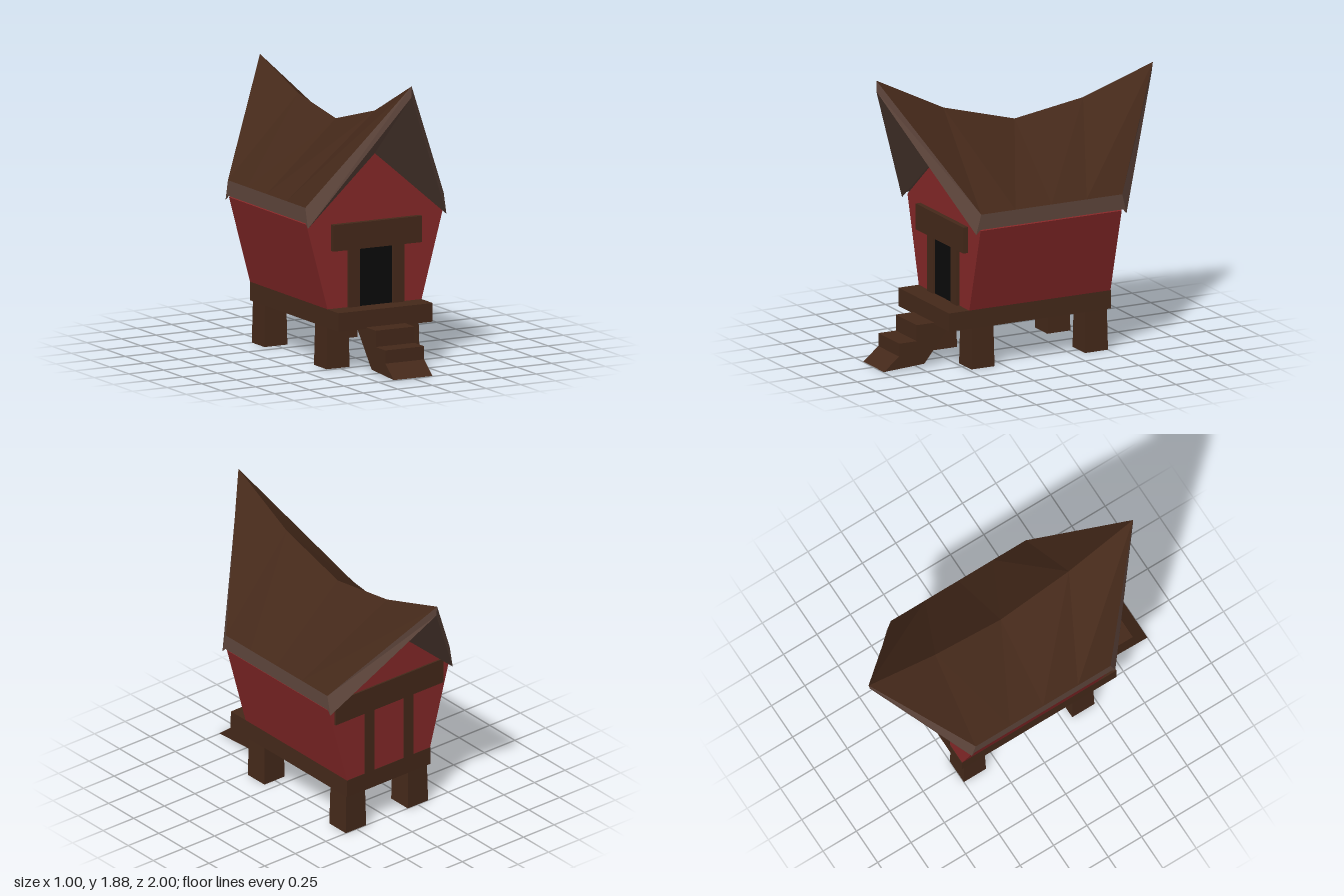
import * as THREE from 'three';

const mat = (color, extra = {}) => new THREE.MeshStandardMaterial({ color, flatShading: true, ...extra });

export function createModel() {
  const group = new THREE.Group();
  const wood = mat(0x45291a), trim = mat(0x5f463c), red = mat(0x862828), black = mat(0x0a0a0a);

  const add = (name, geo, material) => {
    const mesh = new THREE.Mesh(geo, material);
    mesh.name = name;
    group.add(mesh);
    return mesh;
  };
  // Box given by its limits on each axis
  const box = (name, x0, x1, y0, y1, z0, z1, material = wood) => {
    const geo = new THREE.BoxGeometry(x1 - x0, y1 - y0, z1 - z0);
    geo.translate((x0 + x1) / 2, (y0 + y1) / 2, (z0 + z1) / 2);
    return add(name, geo, material);
  };
  const shape = (pts) => new THREE.Shape(pts.map(([x, y]) => new THREE.Vector2(x, y)));
  // Faces listed for the +x half, then mirrored to -x
  const mirrored = (faces) => {
    const pos = [];
    for (const s of [1, -1]) {
      for (const f of faces) {
        const c = s > 0 ? f : [...f].reverse();
        for (let i = 1; i < c.length - 1; i++) {
          for (const [x, y, z] of [c[0], c[i], c[i + 1]]) pos.push(s * x, y, z);
        }
      }
    }
    const geo = new THREE.BufferGeometry();
    geo.setAttribute('position', new THREE.Float32BufferAttribute(pos, 3));
    geo.computeVertexNormals();
    return geo;
  };

  // Walls: flared house section with a low gable
  const walls = new THREE.ExtrudeGeometry(
    shape([[-0.34, 0.39], [0.34, 0.39], [0.492, 0.95], [0, 1.365], [-0.492, 0.95]]),
    { depth: 1.01, bevelEnabled: false });
  walls.translate(0, 0, -0.515);
  add('walls', walls, red);

  // Roof: swept ridge (R) over straight eaves (E)
  const R = [[0, 1.88, 0.98], [0, 1.64, 0.5], [0, 1.5, -0.01], [0, 1.575, -0.5], [0, 1.74, -1]];
  const E = [0.495, 0.25, -0.01, -0.26, -0.515].map((z) => [0.5, 1.06, z]);
  const slopes = [];
  for (let i = 0; i < 4; i++) slopes.push([E[i], E[i + 1], R[i + 1], R[i]]);
  add('roofSlopes', mirrored(slopes), wood);

  // Roof edges and soffits: inner ridge (U), lower eave (B)
  const U = [[0, 1.81, 0.98], [0, 1.365, 0.5], [0, 1.365, -0.52], [0, 1.67, -0.99]];
  const B = [[0.5, 0.93, 0.53], [0.5, 0.96, 0.5], [0.5, 0.96, -0.52], [0.5, 0.93, -0.545]];
  add('roofTrim', mirrored([
    [B[1], B[2], E[4], E[0]], [B[0], B[1], E[0]], [B[2], B[3], E[4]],
    [U[0], B[0], E[0], R[0]], [E[4], B[3], U[3], R[4]],
    [U[0], U[1], B[0]], [U[1], B[1], B[0]], [U[1], U[2], B[2], B[1]],
    [U[2], B[3], B[2]], [U[2], U[3], B[3]],
  ]), trim);

  // Floor platform with front porch
  box('platform', -0.34, 0.34, 0.27, 0.39, -0.518, 0.64);

  // Stilts, slightly wider at the foot
  for (const sx of [1, -1]) {
    for (const z of [0.395, -0.417]) {
      const geo = new THREE.BoxGeometry(0.155, 0.275, 0.155);
      const p = geo.attributes.position;
      for (let i = 0; i < p.count; i++) {
        if (p.getY(i) < 0) p.setXYZ(i, p.getX(i) * 1.07, p.getY(i), p.getZ(i) * 1.07);
      }
      geo.computeVertexNormals();
      add('stilt', geo, wood).position.set(sx * 0.253, 0.1375, z);
    }
  }

  // Steps: side profile in (z, y) extruded across x
  const steps = new THREE.ExtrudeGeometry(
    shape([[1, 0.003], [0.89, 0.09], [0.89, 0.175], [0.765, 0.175], [0.765, 0.28],
      [0.5, 0.28], [0.71, 0.02]]),
    { depth: 0.28, bevelEnabled: false });
  steps.rotateY(-Math.PI / 2);
  steps.translate(0.14, 0, 0);
  add('steps', steps, wood);

  // Doorway and its frame
  box('doorway', -0.12, 0.125, 0.39, 0.77, 0.48, 0.5, black);
  box('doorPost', -0.195, -0.115, 0.39, 0.77, 0.48, 0.514);
  box('doorPost', 0.125, 0.205, 0.39, 0.77, 0.48, 0.514);
  box('doorLintel', -0.315, 0.325, 0.765, 0.935, 0.48, 0.53);

  // Rear beam and posts
  box('rearBeam', -0.44, 0.44, 0.83, 1.0, -0.526, -0.49);
  for (const s of [1, -1]) {
    box('rearPost', s * 0.16 - 0.038, s * 0.16 + 0.038, 0.39, 0.84, -0.522, -0.49);
  }

  return group;
}
